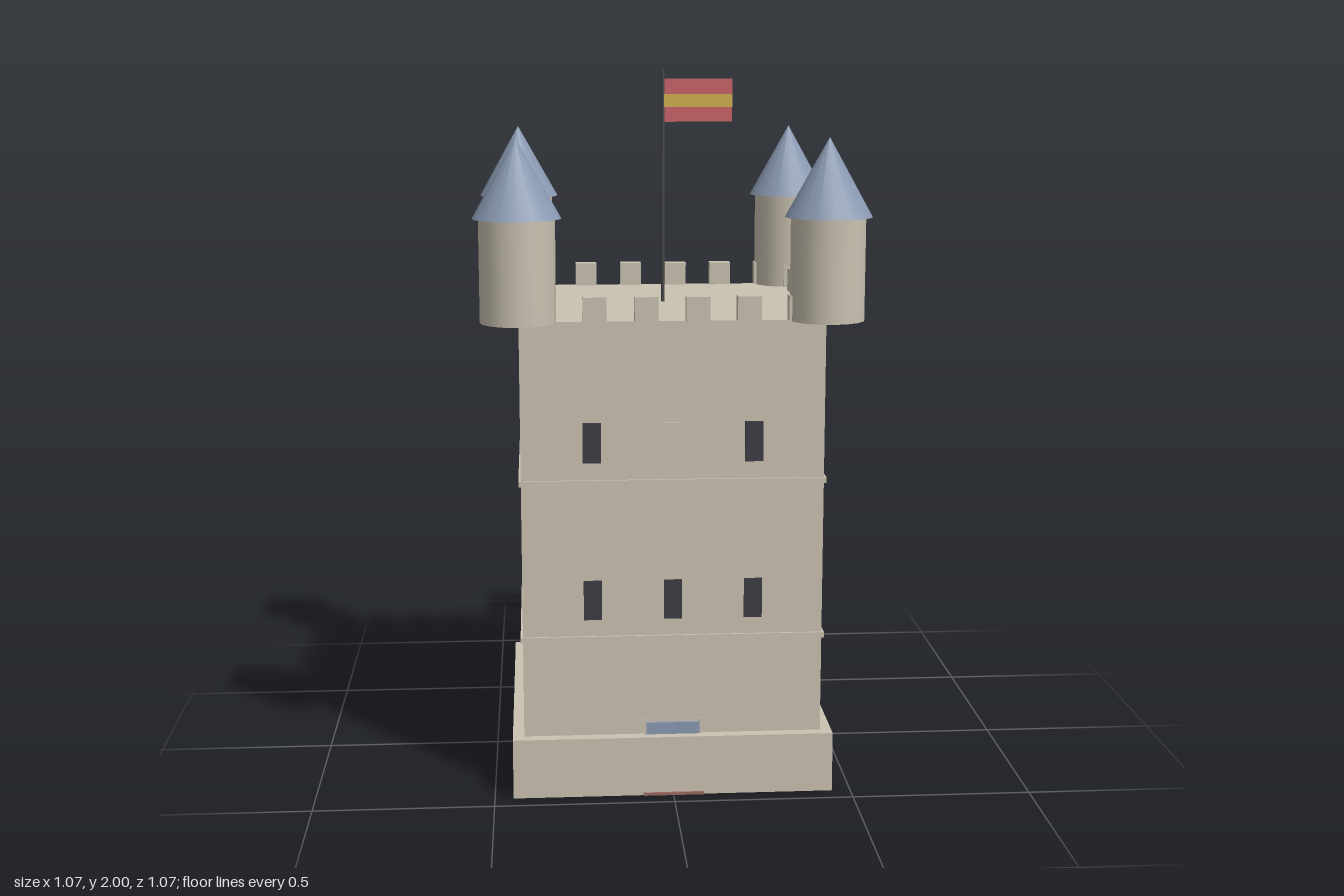
import * as THREE from 'three';

const mat = (name, color) => {
  const m = new THREE.MeshStandardMaterial({ color });
  m.name = name;
  return m;
};

export function createModel() {
  const stone = mat('stone', 0xcac2b1);
  const slate = mat('slate blue', 0x8a9ab2);
  const dark = mat('window dark', 0x3c3c44);
  const iron = mat('pole grey', 0x4a4a4c);
  const red = mat('flag red', 0xca6468);
  const yellow = mat('flag yellow', 0xd0b04e);
  const wood = mat('step brown', 0x9a6a60);

  const castle = new THREE.Group();
  castle.name = 'castleTower';

  const add = (name, geometry, material, x, y, z, parent = castle) => {
    const mesh = new THREE.Mesh(geometry, material);
    mesh.name = name;
    mesh.position.set(x, y, z);
    parent.add(mesh);
    return mesh;
  };
  // Box given by its size, the height of its underside and its centre
  const box = (name, material, w, h, d, x, y0, z, parent) =>
    add(name, new THREE.BoxGeometry(w, h, d), material, x, y0 + h / 2, z, parent);

  // Plinth, keep and the two string courses
  const HALF = 0.416;
  const TOP = 1.337;
  box('plinth', stone, 0.896, 0.17, 0.896, 0, 0, 0);
  box('keep', stone, HALF * 2, TOP - 0.17, HALF * 2, 0, 0.17, 0);
  for (const y of [0.442, 0.885]) box('stringCourse', stone, 0.845, 0.016, 0.845, 0, y, 0);

  // Battlements, evenly spaced along all four sides
  const battlements = new THREE.Group();
  battlements.name = 'battlements';
  castle.add(battlements);
  for (let i = 0; i < 6; i++) {
    const t = -0.351 + i * 0.139;
    for (const s of [-1, 1]) {
      box('merlon', stone, 0.064, 0.068, 0.043, t, TOP, s * 0.417, battlements);
      box('merlon', stone, 0.043, 0.068, 0.064, s * 0.417, TOP, -t, battlements);
    }
  }

  // Corner turrets with conical roofs
  for (const sx of [-1, 1]) {
    for (const sz of [-1, 1]) {
      const turret = new THREE.Group();
      turret.name = 'turret';
      turret.position.set(sx * 0.417, 0, sz * 0.417);
      castle.add(turret);
      add('turretWall', new THREE.CylinderGeometry(0.102, 0.102, 0.278, 16), stone, 0, 1.476, 0, turret);
      add('turretRoof', new THREE.ConeGeometry(0.119, 0.212, 16), slate, 0, 1.721, 0, turret);
    }
  }

  // Front windows; the upper middle one is walled up
  for (const y of [0.506, 0.949]) {
    for (const x of [-0.222, 0, 0.222]) {
      const blind = x === 0 && y > 0.9;
      box(blind ? 'blindWindow' : 'window', blind ? stone : dark, 0.05, 0.111, 0.009, x, y, HALF + 0.002);
    }
  }

  // Door top above the plinth, its jambs and the threshold
  box('door', slate, 0.15, 0.2, 0.009, 0, 0.004, HALF + 0.003);
  for (const s of [-1, 1]) box('doorJamb', stone, 0.006, 0.21, 0.009, s * 0.077, 0.004, HALF + 0.003);
  box('threshold', wood, 0.17, 0.008, 0.02, 0, 0, 0.443);

  // Flagpole and flag, with the yellow stripe on the front only
  add('flagpole', new THREE.CylinderGeometry(0.005, 0.005, 2 - TOP, 8), iron, 0, (2 + TOP) / 2, 0);
  box('flag', red, 0.197, 0.122, 0.004, 0.1, 1.853, 0);
  box('flagStripe', yellow, 0.197, 0.036, 0.002, 0.1, 1.895, 0.003);

  return castle;
}
